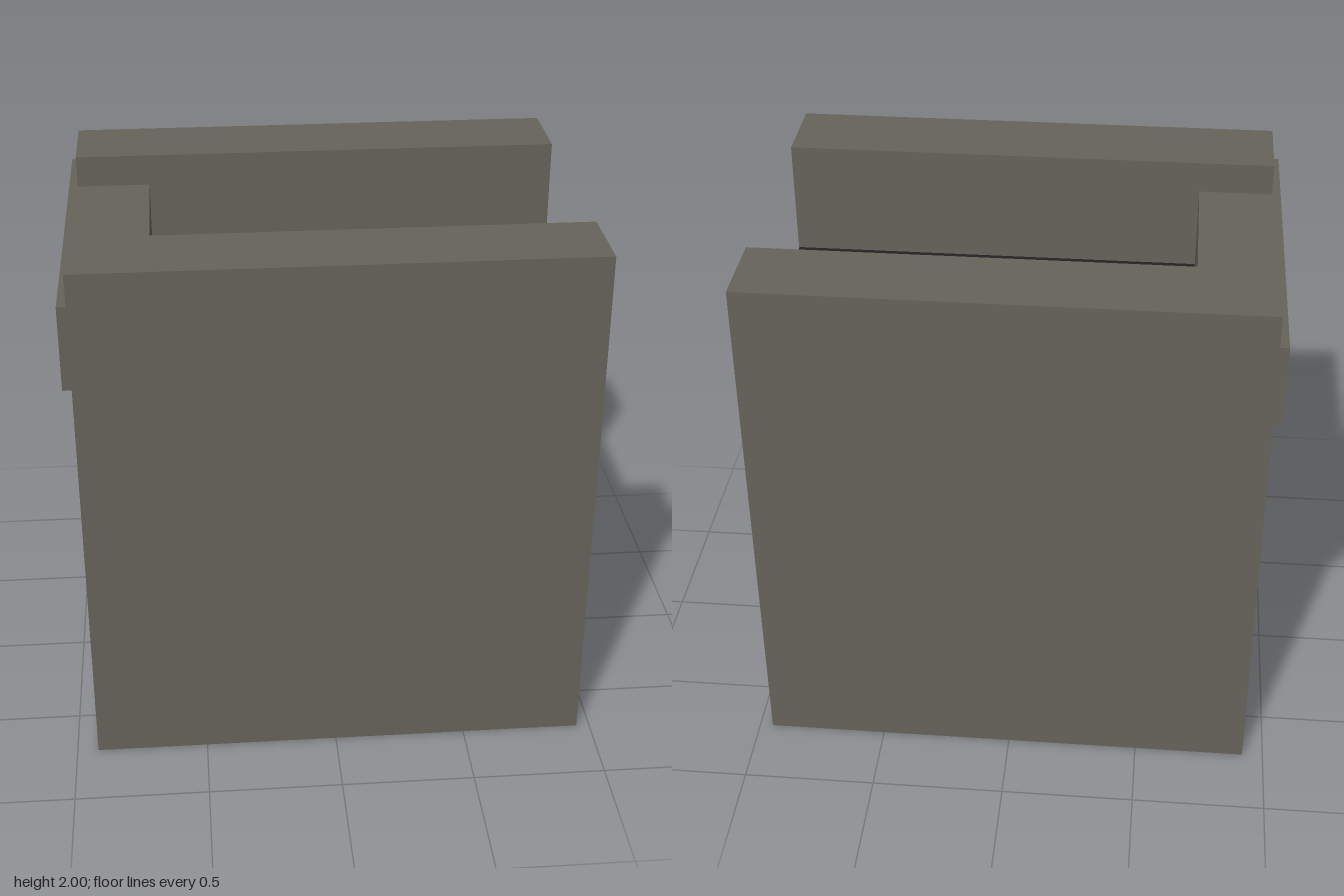
import * as THREE from 'three';

const material = (name, color) => {
  const m = new THREE.MeshStandardMaterial({ color });
  m.name = name;
  return m;
};

export function createModel() {
  const group = new THREE.Group();
  group.name = 'gateHousing';
  const stone = material('warm grey stone', 0x66635a);
  const dark = material('near black panel', 0x222222);
  const slate = material('dark slate', 0x35333e);

  // Box given by its minimum and maximum corners
  const box = (name, mat, [x0, y0, z0], [x1, y1, z1]) => {
    const mesh = new THREE.Mesh(new THREE.BoxGeometry(x1 - x0, y1 - y0, z1 - z0), mat);
    mesh.position.set((x0 + x1) / 2, (y0 + y1) / 2, (z0 + z1) / 2);
    mesh.name = name;
    group.add(mesh);
  };

  // Two thick side walls
  box('frontWall', stone, [-0.92, 0, 0.405], [0.95, 2, 0.72]);
  box('backWall', stone, [-0.92, 0, -0.72], [0.95, 2, -0.405]);

  // Lintel running through both walls at the open end
  box('lintel', stone, [-0.953, 1.565, -0.718], [-0.64, 1.88, 0.718]);

  // Dark closing panel and lid between the walls
  box('endPanel', dark, [0.88, 0.002, -0.405], [0.948, 1.56, 0.405]);
  box('lid', dark, [-0.64, 1.5, -0.405], [0.88, 1.56, 0.405]);

  // Floor plate, leaving a slot behind the end panel
  box('floorPlate', dark, [-0.63, 0.015, -0.405], [0.58, 0.04, 0.405]);

  // Narrow rails across the floor
  for (const x of [-0.58, -0.46]) {
    box('floorRail', stone, [x - 0.018, 0.01, -0.405], [x + 0.018, 0.05, 0.405]);
  }

  // Threshold under the lintel
  box('threshold', slate, [-0.915, 0.002, -0.405], [-0.63, 0.04, 0.405]);

  return group;
}
